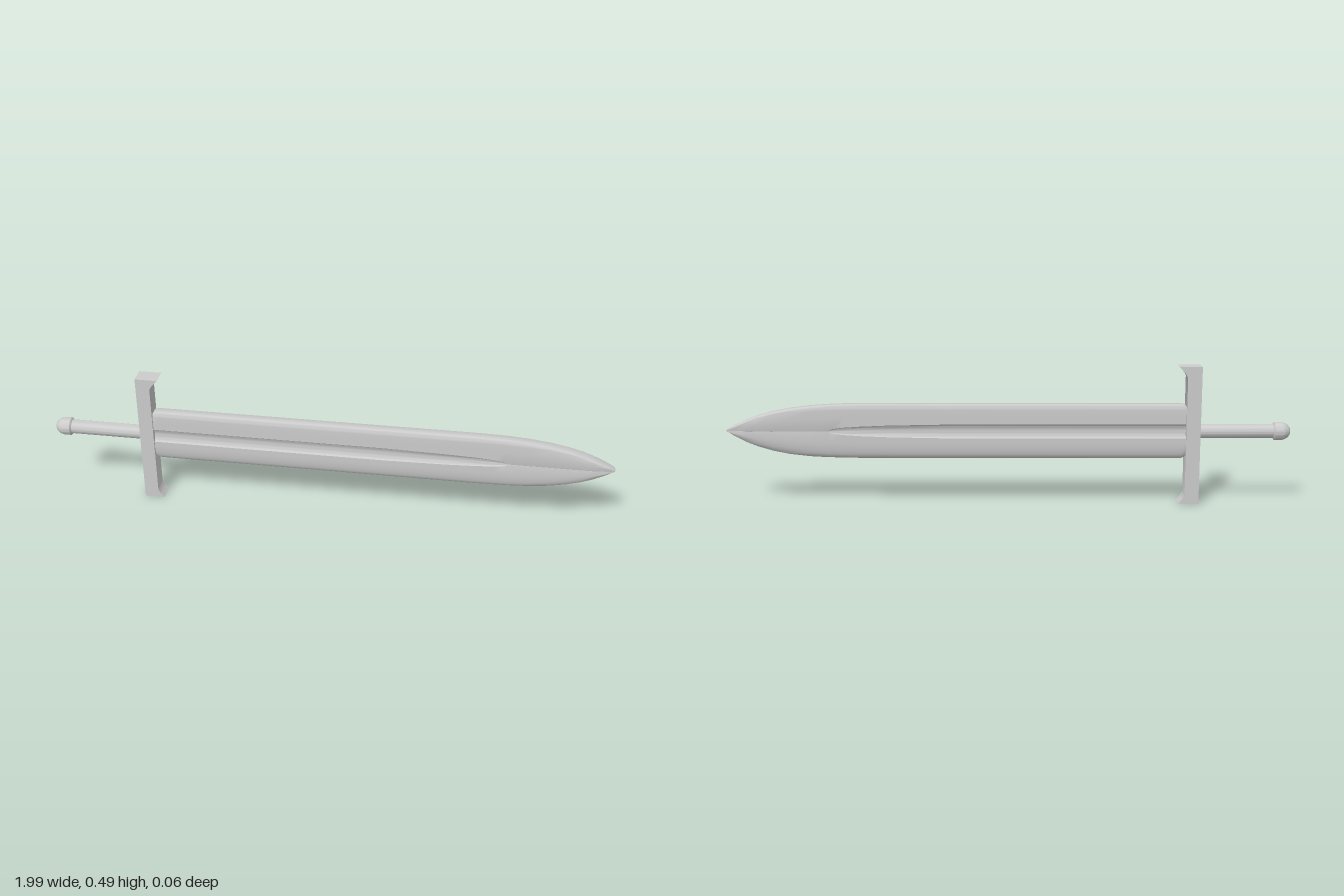
import * as THREE from 'three';
import { toCreasedNormals } from 'three/addons/utils/BufferGeometryUtils.js';

const material = new THREE.MeshStandardMaterial({ color: 0xcccccc });
const AXIS = 0.258; // height of the sword's long axis
const MID = 0.26; // height of the blade's centre line and tip

function addMesh(group, name, geometry) {
  const mesh = new THREE.Mesh(geometry, material);
  mesh.name = name;
  group.add(mesh);
  return mesh;
}

// Front half of the blade section from bottom to top, as [y, z]
function halfSection(top, bottom, thick, fuller) {
  const pts = [];
  const down = MID - bottom, up = top - MID;
  // long soft bevel on the lower edge: [share of height, share of thickness]
  for (const [h, t] of [[1, 0.12], [0.97, 0.42], [0.92, 0.62], [0.83, 0.78], [0.7, 0.9], [0.55, 0.98], [0.42, 1]])
    pts.push([MID - down * h, thick * t]);
  // hollow fuller
  for (let i = 0; i <= 12; i++) {
    const a = (i / 12) * Math.PI;
    pts.push([MID - fuller * Math.cos(a), thick - 0.45 * fuller * Math.sin(a)]);
  }
  // tighter rounding on the upper edge
  for (const [h, t] of [[0.5, 1], [0.8, 1], [0.88, 0.97], [0.94, 0.9], [0.98, 0.79], [1, 0.62]])
    pts.push([MID + up * h, thick * t]);
  return pts;
}

function bladeGeometry() {
  // x, top, bottom, half thickness, fuller half width
  const stations = [
    [-0.63, 0.349, 0.168, 0.023, 0.025], [-0.622, 0.354, 0.162, 0.023, 0.025],
    [-0.61, 0.355, 0.16, 0.023, 0.025], [0.2, 0.355, 0.16, 0.023, 0.025],
    [0.42, 0.355, 0.16, 0.023, 0.021], [0.52, 0.355, 0.16, 0.023, 0.017],
    [0.58, 0.354, 0.161, 0.023, 0.013], [0.615, 0.353, 0.162, 0.023, 0.008],
    [0.63, 0.352, 0.162, 0.023, 0.0005], [0.7, 0.347, 0.166, 0.023, 0.0005],
    [0.77, 0.338, 0.174, 0.023, 0.0005], [0.83, 0.326, 0.186, 0.023, 0.0005],
    [0.88, 0.312, 0.201, 0.023, 0.0004], [0.92, 0.297, 0.217, 0.022, 0.0003],
    [0.96, 0.279, 0.238, 0.019, 0.0002], [0.985, 0.266, 0.254, 0.015, 0.0001],
    [0.993, 0.2605, 0.2595, 0.012, 0.00005],
  ];
  const pos = [], index = [];
  let n = 0;
  for (const [x, top, bottom, thick, fuller] of stations) {
    const front = halfSection(top, bottom, thick, fuller);
    const loop = [...front, ...front.map(([y, z]) => [y, -z]).reverse()];
    n = loop.length;
    for (const [y, z] of loop) pos.push(x, y, z);
  }
  const last = stations.length - 1;
  for (let i = 0; i < last; i++)
    for (let j = 0; j < n; j++) {
      const k = (j + 1) % n;
      const a = i * n + j, b = a + n, c = (i + 1) * n + k, d = i * n + k;
      index.push(a, b, c, a, c, d);
    }
  // end caps
  const root = pos.length / 3;
  pos.push(stations[0][0], MID, 0, stations[last][0], MID, 0);
  for (let j = 0; j < n; j++) {
    const k = (j + 1) % n;
    index.push(root, j, k, root + 1, last * n + k, last * n + j);
  }
  const geometry = new THREE.BufferGeometry();
  geometry.setAttribute('position', new THREE.Float32BufferAttribute(pos, 3));
  geometry.setIndex(index);
  return toCreasedNormals(geometry, 0.5);
}

// Straight crossguard with ends flicked towards the blade
function guardGeometry() {
  const s = new THREE.Shape();
  s.moveTo(-0.68, 0);
  s.lineTo(-0.608, 0);
  s.quadraticCurveTo(-0.626, 0.017, -0.63, 0.033);
  s.lineTo(-0.63, 0.453);
  s.quadraticCurveTo(-0.625, 0.466, -0.6, 0.491);
  s.lineTo(-0.68, 0.491);
  s.closePath();
  const g = new THREE.ExtrudeGeometry(s, { depth: 0.06, bevelEnabled: false, curveSegments: 6 });
  g.translate(0, 0, -0.03);
  return toCreasedNormals(g, 0.5);
}

// Turned part along the x axis, profile given as [radius, x] with x rising
function turned(profile) {
  const g = new THREE.LatheGeometry(profile.map(([r, x]) => new THREE.Vector2(r, x)), 32);
  g.rotateZ(-Math.PI / 2);
  g.translate(0, AXIS, 0);
  return toCreasedNormals(g, 0.6);
}

export function createModel() {
  const sword = new THREE.Group();
  sword.name = 'sword';
  addMesh(sword, 'blade', bladeGeometry());
  addMesh(sword, 'crossguard', guardGeometry());
  addMesh(sword, 'grip', turned([[0, -0.95], [0.025, -0.95], [0.025, -0.67], [0, -0.67]]));

  // domed pommel with a short collar
  const dome = [];
  for (let i = 0; i <= 10; i++) {
    const a = (i / 10) * Math.PI / 2;
    dome.push([0.032 * Math.sin(a), -0.965 - 0.035 * Math.cos(a)]);
  }
  addMesh(sword, 'pommel', turned([...dome, [0.032, -0.943], [0.025, -0.938], [0, -0.938]]));
  return sword;
}
